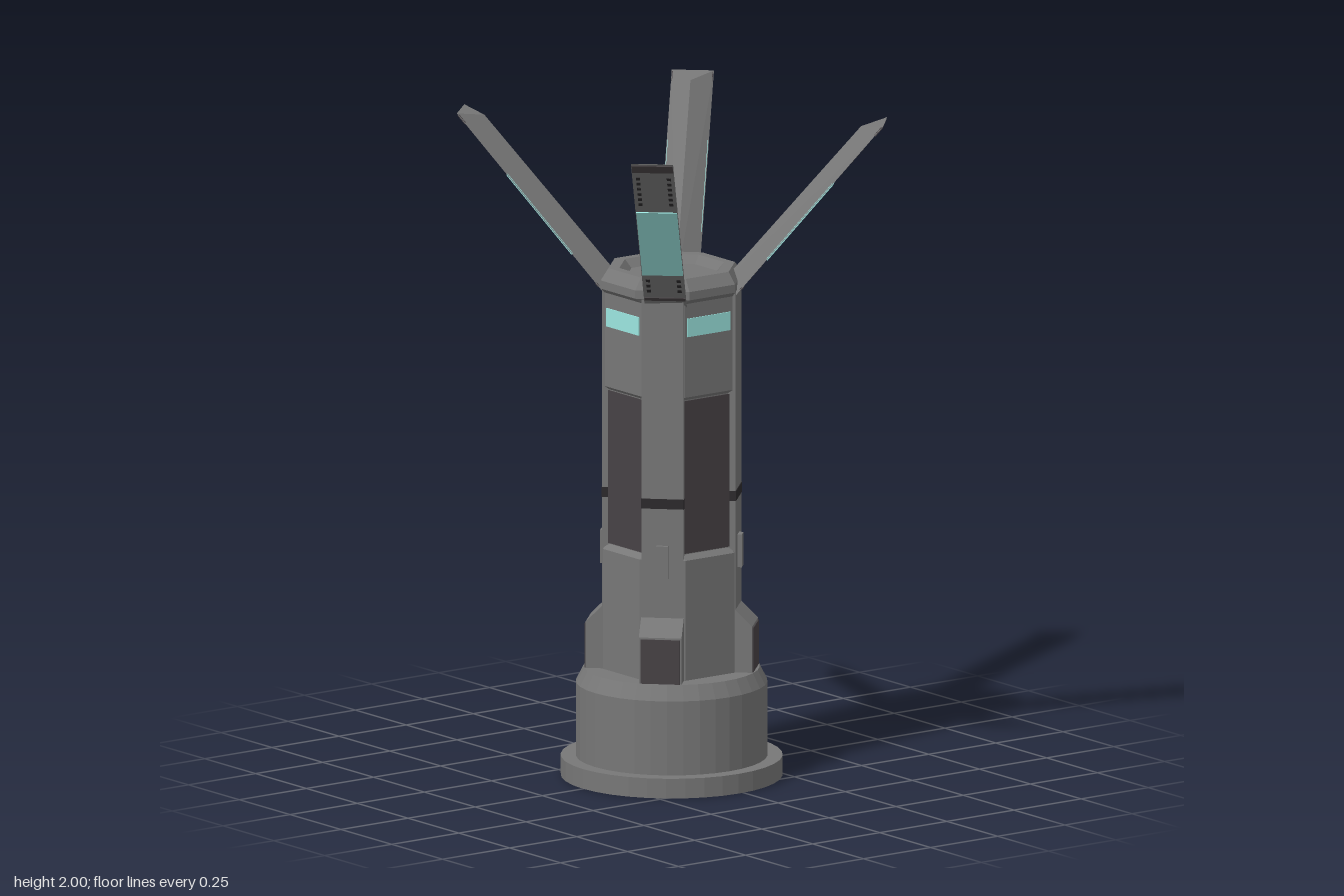
import * as THREE from 'three';
import { ConvexGeometry } from 'three/addons/geometries/ConvexGeometry.js';

const mat = (color) => new THREE.MeshStandardMaterial({ color, flatShading: true, side: THREE.DoubleSide });

// Eight-sided loft: each section is [y, distance of flat sides, corner cut x + z]
function octagonLoft(sections) {
  const rings = sections.map(([y, a, c]) => {
    const ring = [];
    for (let k = 0; k < 4; k++) {
      for (const s of [-1, 1]) {
        let x = a, z = s * (c - a);
        for (let i = 0; i < k; i++) [x, z] = [-z, x];
        ring.push([x, y, z]);
      }
    }
    return ring;
  });
  const pos = [];
  for (let i = 0; i < rings.length - 1; i++) {
    for (let j = 0; j < 8; j++) {
      const n = (j + 1) % 8, lo = rings[i], hi = rings[i + 1];
      pos.push(...lo[j], ...hi[j], ...lo[n], ...lo[n], ...hi[j], ...hi[n]);
    }
  }
  const geo = new THREE.BufferGeometry();
  geo.setAttribute('position', new THREE.Float32BufferAttribute(pos, 3));
  geo.computeVertexNormals();
  return geo;
}

export function createModel() {
  const model = new THREE.Group();
  const grey = mat(0x777777), dark = mat(0x474245), black = mat(0x2c2a2c), cyan = mat(0x9ce6e0);

  const add = (parent, name, geo, material, x = 0, y = 0, z = 0) => {
    const mesh = new THREE.Mesh(geo, material);
    mesh.name = name;
    mesh.position.set(x, y, z);
    parent.add(mesh);
    return mesh;
  };
  const box = (parent, name, material, w, h, d, x, y, z = 0) =>
    add(parent, name, new THREE.BoxGeometry(w, h, d), material, x, y, z);

  // Group whose local +x points outward at the given angle (from +x towards +z)
  const spoke = (name, degrees) => {
    const g = new THREE.Group();
    g.name = name;
    g.rotation.y = -THREE.MathUtils.degToRad(degrees);
    tower.add(g);
    return g;
  };

  // The column stands slightly off centre because one arm is turned
  const tower = new THREE.Group();
  tower.name = 'tower';
  tower.position.x = -0.018;
  model.add(tower);

  // Round base: flange, drum and bevelled shoulder
  const baseProfile = [[0, 0], [0.33, 0], [0.33, 0.06], [0.285, 0.06], [0.285, 0.285], [0.262, 0.33], [0, 0.33]]
    .map(([r, y]) => new THREE.Vector2(r, y));
  add(tower, 'base', new THREE.LatheGeometry(baseProfile, 36), grey);

  // Column with a recess for the dark panels
  add(tower, 'column', octagonLoft([
    [0.32, 0.188, 0.278], [0.695, 0.188, 0.278], [0.71, 0.17, 0.262],
    [1.18, 0.17, 0.262], [1.19, 0.181, 0.271], [1.5, 0.181, 0.271],
  ]), grey);

  // Bevelled cap with a sunken lid
  add(tower, 'cap', octagonLoft([
    [1.475, 0.181, 0.271], [1.49, 0.2, 0.285], [1.515, 0.2, 0.285], [1.55, 0.175, 0.255],
    [1.55, 0.148, 0.21], [1.525, 0.128, 0.181], [1.525, 0, 0],
  ]), grey);

  // Dark panel and window on each flat side
  for (let k = 0; k < 4; k++) {
    const side = spoke('sidePanel', k * 90);
    box(side, 'darkPanel', dark, 0.01, 0.465, 0.178, 0.168, 0.945);
    box(side, 'window', cyan, 0.01, 0.056, 0.16, 0.179, 1.402);
  }

  // Foot outline in outward distance and height
  const footShape = new THREE.Shape([[0.1, 0.3], [0.25, 0.3], [0.25, 0.47], [0.2, 0.52], [0.1, 0.52]]
    .map(([d, y]) => new THREE.Vector2(d, y)));
  const footGeo = new THREE.ExtrudeGeometry(footShape, { depth: 0.128, bevelEnabled: false });
  footGeo.translate(0, 0, -0.064);

  // Corner posts with groove band, grip and foot
  for (let k = 0; k < 4; k++) {
    const post = spoke('cornerPost', 45 + k * 90);
    box(post, 'post', grey, 0.1, 1.17, 0.126, 0.15, 0.905);
    box(post, 'postBand', black, 0.02, 0.03, 0.128, 0.192, 0.867);
    box(post, 'grip', grey, 0.02, 0.1, 0.036, 0.203, 0.69);
    add(post, 'foot', footGeo, grey);
    box(post, 'footPanel', dark, 0.006, 0.135, 0.118, 0.25, 0.397);
  }

  // Three-sided arms, ridge upward, with level-cut tips
  const w = 0.063;
  const armGeo = new ConvexGeometry([
    [0.18, 1.455, w], [0.18, 1.455, -w], [0.11, 1.455, 0],
    [0.637, 2, w], [0.637, 2, -w], [0.565, 1.985, 0],
  ].map((p) => new THREE.Vector3(...p)));
  const lean = Math.atan2(0.637 - 0.18, 2 - 1.455);
  const along = (y) => (y - 1.455) / Math.cos(lean);

  for (const angle of [42.6, 132.4, 227.3, 312.8]) {
    const arm = spoke('arm', angle);
    add(arm, 'armBeam', armGeo, grey);

    // Fittings on the outer face: local y runs up the arm, local x out of it
    const face = new THREE.Group();
    face.name = 'armFace';
    face.position.set(0.18, 1.455, 0);
    face.rotation.z = -lean;
    arm.add(face);
    const strip = (name, material, y0, y1) =>
      box(face, name, material, 0.006, along(y1) - along(y0), 2 * w - 0.004, 0, (along(y0) + along(y1)) / 2);
    strip('armLight', cyan, 1.585, 1.82);
    strip('tipStrip', dark, 1.97, 1.995);
    strip('rootStrip', dark, 1.49, 1.5);

    // Two rows of small vents above and below the light
    for (const z of [-0.046, 0.046]) {
      for (const [start, count] of [[1.525, 3], [1.85, 6]]) {
        for (let i = 0; i < count; i++) {
          box(face, 'vent', black, 0.004, 0.012, 0.012, 0, along(start + i * 0.019), z);
        }
      }
    }
  }
  return model;
}
